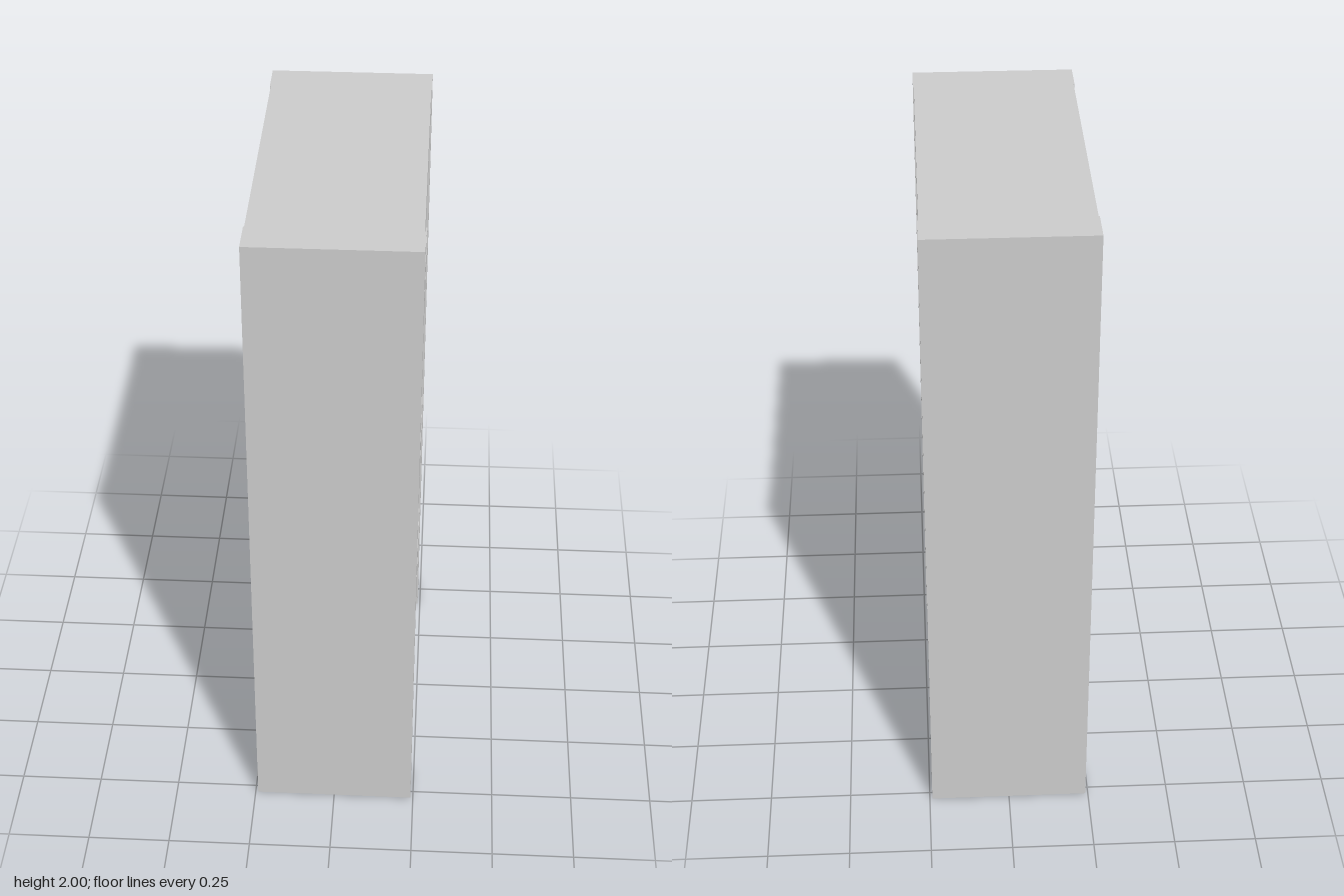
import * as THREE from 'three';

export function createModel() {
  const group = new THREE.Group();
  group.name = 'shelfUnit';
  const material = new THREE.MeshStandardMaterial({ color: 0xcccccc, flatShading: true });

  const height = 2, halfDepth = 0.527, board = 0.107;
  const panelWidth = 0.484, shelfWidth = 0.478;

  function addBoard(name, w, h, d, y, z) {
    const mesh = new THREE.Mesh(new THREE.BoxGeometry(w, h, d), material);
    mesh.name = name;
    mesh.position.set(0, y, z);
    group.add(mesh);
  }

  // Two upright panels at the ends
  for (const [name, side] of [['frontPanel', 1], ['backPanel', -1]]) {
    addBoard(name, panelWidth, height, board, height / 2, side * (halfDepth - board / 2));
  }

  // Shelves and top board, slightly narrower, fitted between the panels
  const span = 2 * (halfDepth - board);
  const tops = { lowerShelf: 0.426, middleShelf: 0.896, upperShelf: 1.531, topBoard: height };
  for (const [name, top] of Object.entries(tops)) {
    addBoard(name, shelfWidth, board, span, top - board / 2, 0);
  }

  return group;
}
